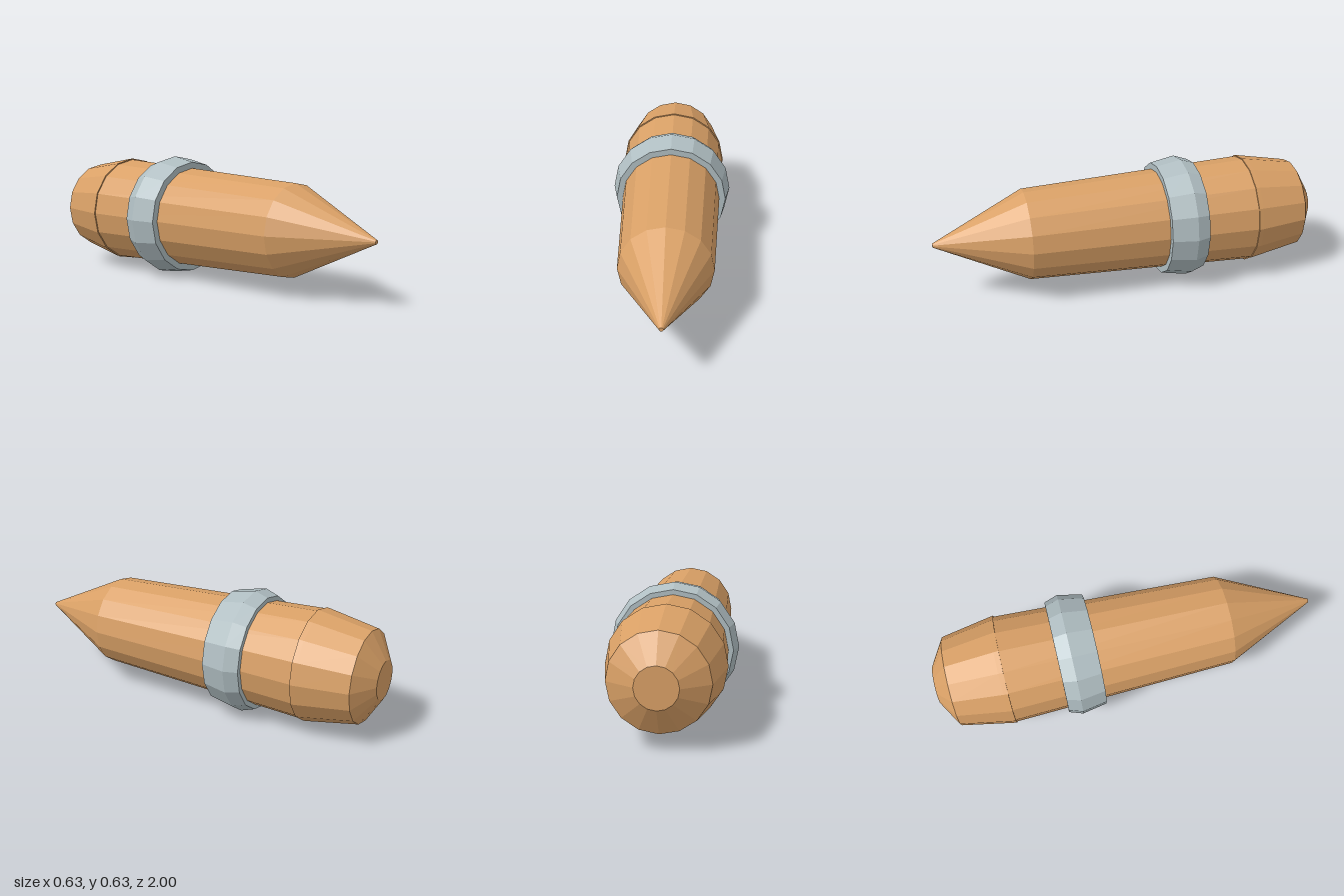
import * as THREE from 'three';

const SIDES = 16;
const AXIS_HEIGHT = 0.317;

// Spins a [radius, z] profile, listed from rear to front, around the z axis
function turned(name, profile, material) {
  const points = profile.map(([r, z]) => new THREE.Vector2(r, z));
  const geometry = new THREE.LatheGeometry(points, SIDES).rotateX(Math.PI / 2);
  const mesh = new THREE.Mesh(geometry, material);
  mesh.name = name;
  mesh.position.y = AXIS_HEIGHT;
  return mesh;
}

export function createModel() {
  const wood = new THREE.MeshStandardMaterial({ color: 0xd9a066, flatShading: true });
  const metal = new THREE.MeshStandardMaterial({ color: 0xb0bec2, flatShading: true });

  const model = new THREE.Group();
  model.name = 'pointedStake';

  // Tapered shaft with a sharpened point
  model.add(turned('shaft', [
    [0, -0.64], [0.279, -0.64], [0.233, 0.53], [0.01, 1], [0, 1],
  ], wood));

  // Rear cap with a thin raised lip and chamfered end
  model.add(turned('rearCap', [
    [0, -1], [0.1, -1], [0.234, -0.92], [0.281, -0.665], [0.285, -0.64], [0, -0.64],
  ], wood));

  // Collar, widest behind its middle
  model.add(turned('collar', [
    [0.26, -0.367], [0.293, -0.367], [0.317, -0.297], [0.293, -0.167], [0.255, -0.167], [0.26, -0.367],
  ], metal));

  return model;
}
